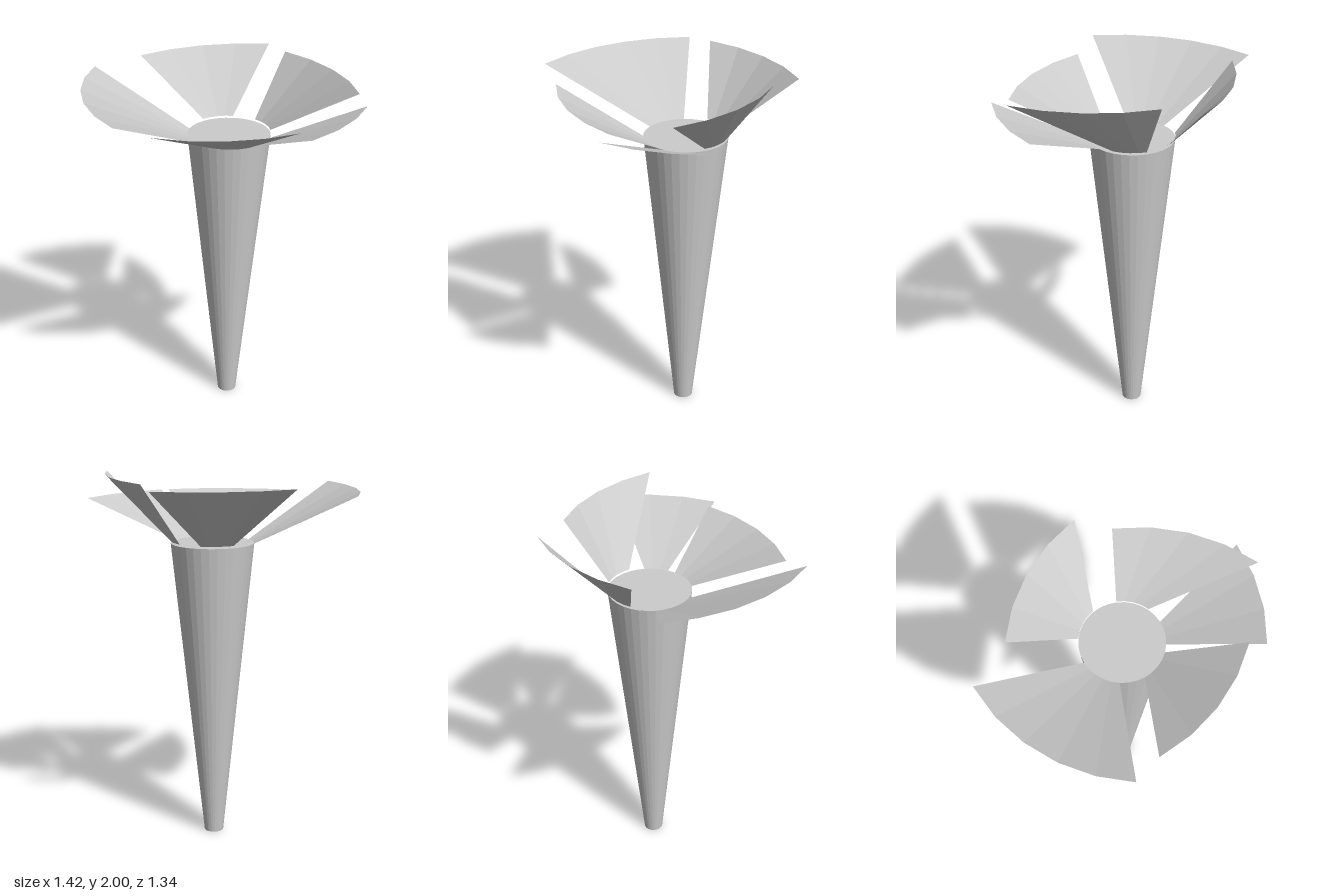
import * as THREE from 'three';

const SIDES = 32;
const STEP = (Math.PI * 2) / SIDES;
const STEM = { x: -0.015, z: -0.165, top: 0.226, bottom: 0.053, height: 1.655 };
const FLARE = 0.976; // radius of every petal's outer arc

// Ruled, flared strip from the stem rim to a wider arc with a shifted centre
function petalGeometry({ first, count, x, z, y, base = STEM.height }) {
  const points = [];
  const index = [];
  for (let i = 0; i <= count; i++) {
    const a = (first + i) * STEP;
    const c = Math.cos(a), s = Math.sin(a);
    points.push(STEM.x + STEM.top * c, base, STEM.z + STEM.top * s);
    points.push(x + FLARE * c, y, z + FLARE * s);
    if (i < count) {
      const k = i * 2;
      index.push(k, k + 1, k + 3, k, k + 3, k + 2);
    }
  }
  const geometry = new THREE.BufferGeometry();
  geometry.setAttribute('position', new THREE.Float32BufferAttribute(points, 3));
  geometry.setIndex(index);
  // Wind the strip so its front is the upper, inner side
  index.reverse();
  geometry.setIndex(index);
  const flat = geometry.toNonIndexed();
  flat.computeVertexNormals();
  return flat;
}

export function createModel() {
  const model = new THREE.Group();
  model.name = 'flower';
  const stemMaterial = new THREE.MeshStandardMaterial({ color: 0xcccccc, flatShading: true });
  const petalMaterial = new THREE.MeshStandardMaterial({
    color: 0xcccccc, flatShading: true, side: THREE.DoubleSide,
  });

  // Tapered stem
  const stem = new THREE.Mesh(
    new THREE.CylinderGeometry(STEM.top, STEM.bottom, STEM.height, SIDES), stemMaterial);
  stem.name = 'stem';
  stem.position.set(STEM.x, STEM.height / 2, STEM.z);
  model.add(stem);

  // Petals: first rim step, number of steps, outer arc centre and height
  const petals = [
    { name: 'frontRightPetal', first: 8, count: 5, x: 0.1, z: -0.313, y: 1.93 },
    { name: 'frontLeftPetal', first: 1, count: 4, x: -0.34, z: -0.296, y: 1.875 },
    { name: 'leftPetal', first: -3, count: 3, x: -0.271, z: -0.106, y: 1.865 },
    { name: 'backPetal', first: -9, count: 4, x: 0.097, z: 0.33, y: 2, base: 1.667 },
    { name: 'backRightPetal', first: 16, count: 4, x: 0.404, z: 0.015, y: 1.985, base: 1.667 },
  ];
  for (const petal of petals) {
    const mesh = new THREE.Mesh(petalGeometry(petal), petalMaterial);
    mesh.name = petal.name;
    model.add(mesh);
  }
  return model;
}
